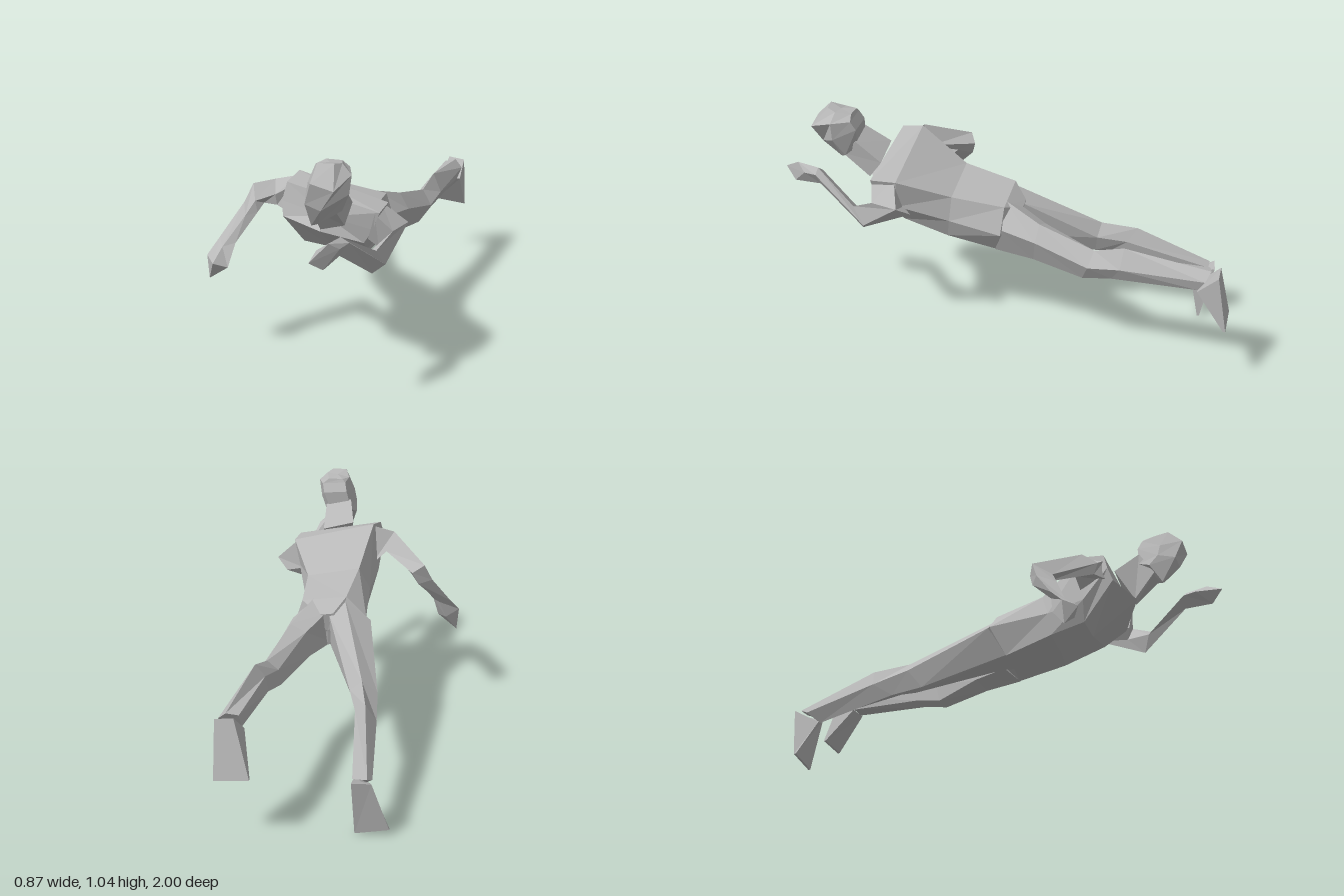
import * as THREE from 'three';

// Lofts a closed skin through rings of [x, y, z] corners; a one-point ring makes a tip.
function loft(name, material, rings) {
  const count = Math.max(...rings.map((r) => r.length));
  const loops = rings.map((r) =>
    Array.from({ length: count }, (_, i) => new THREE.Vector3(...r[r.length === 1 ? 0 : i])));
  const tris = [];
  const add = (a, b, c) => {
    const area = b.clone().sub(a).cross(c.clone().sub(a)).length();
    if (area > 1e-7) tris.push([a, b, c]);
  };
  for (let k = 0; k + 1 < loops.length; k++) {
    for (let i = 0; i < count; i++) {
      const j = (i + 1) % count;
      const [a, b, c, d] = [loops[k][i], loops[k][j], loops[k + 1][j], loops[k + 1][i]];
      add(a, b, c);
      add(a, c, d);
    }
  }
  // end caps
  [loops[0], loops[loops.length - 1]].forEach((loop, end) => {
    const mid = new THREE.Vector3();
    loop.forEach((p) => mid.addScaledVector(p, 1 / count));
    loop.forEach((p, i) => {
      const q = loop[(i + 1) % count];
      if (end) add(mid, p, q);
      else add(mid, q, p);
    });
  });
  // turn the skin outward whichever way the rings run
  const volume = tris.reduce((s, [a, b, c]) => s + a.dot(b.clone().cross(c)), 0);
  const points = tris.flatMap(([a, b, c]) => (volume < 0 ? [a, c, b] : [a, b, c]));
  const geometry = new THREE.BufferGeometry().setFromPoints(points);
  geometry.computeVertexNormals();
  const mesh = new THREE.Mesh(geometry, material);
  mesh.name = name;
  return mesh;
}

export function createModel() {
  const grey = new THREE.MeshStandardMaterial({ color: 0xb8b8b8, flatShading: true });
  grey.name = 'plain grey';
  const model = new THREE.Group();
  model.name = 'divingFigure';
  const part = (name, ...rings) => model.add(loft(name, grey, rings));

  // Torso, from seat to chest: back, left side, belly, right side
  part('torso',
    [[0.08, 0.63, -0.07], [0.14, 0.62, -0.07], [0.16, 0.55, -0.06], [0.15, 0.48, -0.03],
      [0.11, 0.46, -0.03], [0.07, 0.48, -0.03], [0.05, 0.56, -0.06]],
    [[0.03, 0.69, -0.01], [0.23, 0.66, -0.01], [0.27, 0.54, 0.0], [0.195, 0.43, 0.04],
      [0.09, 0.445, 0.05], [-0.01, 0.47, 0.05], [-0.06, 0.6, -0.01]],
    [[0.01, 0.74, 0.22], [0.25, 0.69, 0.22], [0.265, 0.58, 0.23], [0.225, 0.485, 0.25],
      [0.1, 0.5, 0.27], [-0.02, 0.53, 0.27], [-0.035, 0.63, 0.26]],
    [[-0.025, 0.885, 0.43], [0.355, 0.785, 0.435], [0.335, 0.66, 0.44], [0.265, 0.566, 0.43],
      [0.12, 0.555, 0.42], [-0.01, 0.57, 0.42], [-0.05, 0.66, 0.43]],
    [[-0.044, 0.864, 0.53], [0.35, 0.78, 0.55], [0.32, 0.7, 0.54], [0.28, 0.635, 0.53],
      [0.125, 0.705, 0.63], [-0.05, 0.73, 0.57], [-0.06, 0.79, 0.55]]);

  // Neck and head
  part('neck',
    [[0.09, 0.85, 0.54], [0.235, 0.81, 0.54], [0.22, 0.73, 0.6], [0.125, 0.71, 0.62]],
    [[0.12, 0.93, 0.65], [0.24, 0.9, 0.65], [0.22, 0.83, 0.72], [0.12, 0.83, 0.72]]);
  part('head',
    [[0.13, 0.775, 0.75], [0.16, 0.785, 0.75], [0.24, 0.83, 0.7], [0.22, 0.87, 0.65],
      [0.12, 0.88, 0.65], [0.1, 0.855, 0.7]],
    [[0.125, 0.885, 0.815], [0.19, 0.865, 0.82], [0.28, 0.915, 0.74], [0.25, 0.96, 0.64],
      [0.14, 0.97, 0.64], [0.105, 0.9, 0.74]],
    [[0.157, 0.98, 0.845], [0.25, 0.957, 0.845], [0.29, 0.995, 0.74], [0.26, 1.0, 0.66],
      [0.15, 1.01, 0.66], [0.118, 0.955, 0.75]],
    [[0.165, 1.043, 0.78], [0.23, 1.043, 0.77], [0.25, 1.035, 0.73], [0.23, 1.025, 0.665],
      [0.165, 1.025, 0.665], [0.14, 1.02, 0.72]]);

  // Right arm, bent downward
  part('rightArm',
    [[-0.02, 0.87, 0.45], [-0.03, 0.845, 0.53], [-0.03, 0.74, 0.55], [-0.02, 0.69, 0.42]],
    [[-0.12, 0.845, 0.455], [-0.1, 0.8, 0.52], [-0.1, 0.748, 0.5], [-0.09, 0.76, 0.41]],
    [[-0.286, 0.75, 0.28], [-0.25, 0.7, 0.36], [-0.22, 0.685, 0.33], [-0.233, 0.72, 0.25]],
    [[-0.32, 0.67, 0.31], [-0.285, 0.64, 0.39], [-0.24, 0.65, 0.36], [-0.26, 0.66, 0.27]],
    [[-0.4, 0.535, 0.4], [-0.37, 0.51, 0.45], [-0.317, 0.527, 0.43], [-0.35, 0.53, 0.385]]);
  part('rightHand',
    [[-0.4, 0.535, 0.4], [-0.37, 0.51, 0.45], [-0.317, 0.527, 0.43], [-0.35, 0.53, 0.385]],
    [[-0.437, 0.47, 0.46], [-0.39, 0.455, 0.515], [-0.336, 0.43, 0.48], [-0.38, 0.45, 0.4]],
    [[-0.427, 0.365, 0.465]]);

  // Left arm, elbow down and hand reaching forward
  part('leftArm',
    [[0.33, 0.79, 0.45], [0.33, 0.77, 0.55], [0.3, 0.66, 0.54], [0.31, 0.65, 0.42]],
    [[0.434, 0.7, 0.41], [0.4, 0.7, 0.53], [0.34, 0.62, 0.52], [0.38, 0.655, 0.365]],
    [[0.385, 0.575, 0.58], [0.36, 0.65, 0.63], [0.3, 0.61, 0.63], [0.335, 0.537, 0.6]],
    [[0.305, 0.75, 0.82], [0.27, 0.77, 0.82], [0.22, 0.735, 0.82], [0.265, 0.69, 0.815]]);
  part('leftHand',
    [[0.305, 0.75, 0.82], [0.27, 0.77, 0.82], [0.22, 0.735, 0.82], [0.265, 0.69, 0.815]],
    [[0.285, 0.745, 0.88], [0.253, 0.778, 0.92], [0.193, 0.73, 0.88], [0.24, 0.68, 0.945]],
    [[0.2, 0.725, 1.0]]);

  // Legs: top, outer, bottom, inner, inner top at hip, knee, calf and ankle
  part('rightLeg',
    [[0.04, 0.68, 0.0], [-0.08, 0.585, -0.01], [-0.015, 0.47, 0.05], [0.11, 0.46, 0.0], [0.1, 0.62, -0.06]],
    [[-0.1, 0.46, -0.38], [-0.165, 0.4, -0.36], [-0.13, 0.325, -0.305], [-0.07, 0.33, -0.36], [-0.045, 0.41, -0.37]],
    [[-0.14, 0.43, -0.54], [-0.185, 0.35, -0.52], [-0.15, 0.3, -0.44], [-0.095, 0.32, -0.42], [-0.09, 0.38, -0.5]],
    [[-0.2, 0.27, -0.87], [-0.215, 0.25, -0.83], [-0.18, 0.205, -0.78], [-0.14, 0.24, -0.79], [-0.14, 0.27, -0.87]]);
  part('leftLeg',
    [[0.18, 0.67, 0.0], [0.275, 0.57, -0.01], [0.2, 0.43, 0.04], [0.1, 0.46, 0.0], [0.12, 0.62, -0.06]],
    [[0.25, 0.61, -0.17], [0.295, 0.54, -0.16], [0.235, 0.425, -0.14], [0.17, 0.46, -0.17], [0.18, 0.58, -0.18]],
    [[0.3, 0.545, -0.42], [0.345, 0.48, -0.4], [0.295, 0.4, -0.37], [0.25, 0.42, -0.39], [0.255, 0.5, -0.41]],
    [[0.32, 0.585, -0.55], [0.36, 0.5, -0.54], [0.32, 0.43, -0.5], [0.275, 0.45, -0.52], [0.28, 0.53, -0.54]],
    [[0.35, 0.545, -0.92], [0.387, 0.51, -0.9], [0.37, 0.46, -0.87], [0.3, 0.465, -0.87], [0.3, 0.535, -0.91]]);

  // Feet: wedges running from heel and ankle down to the toe edge
  part('rightFoot',
    [[-0.22, 0.265, -0.89], [-0.14, 0.265, -0.9], [-0.137, 0.235, -0.79], [-0.195, 0.205, -0.78]],
    [[-0.286, 0.03, -0.84], [-0.145, 0.003, -0.845], [-0.145, 0.003, -0.835], [-0.286, 0.03, -0.83]]);
  part('leftFoot',
    [[0.31, 0.545, -0.955], [0.387, 0.535, -0.955], [0.385, 0.46, -0.87], [0.29, 0.46, -0.87]],
    [[0.245, 0.3, -1.0], [0.39, 0.285, -1.0], [0.39, 0.285, -0.99], [0.245, 0.3, -0.99]]);

  return model;
}
